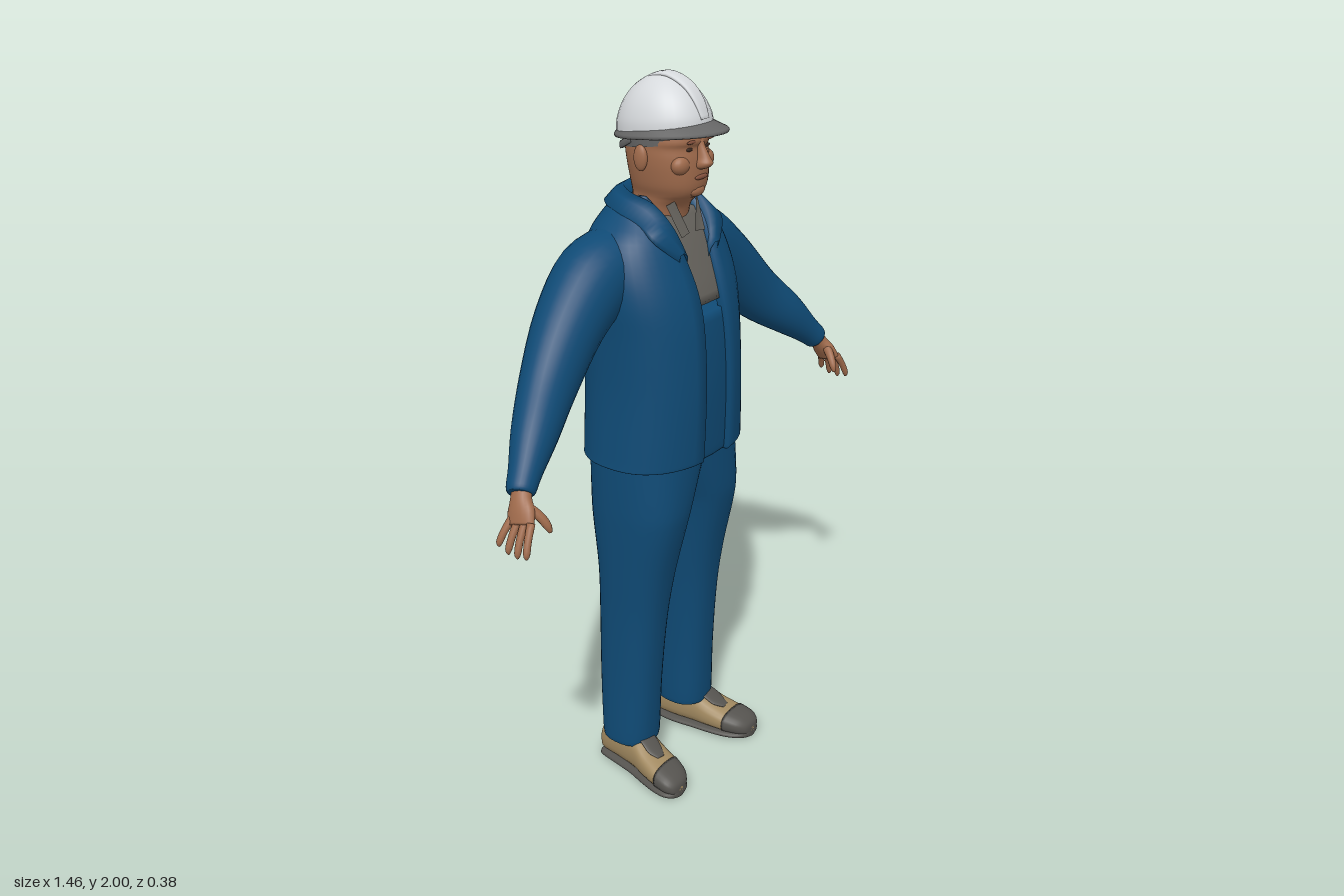
import * as THREE from 'three';

const mat = (name, color, side = THREE.FrontSide) => {
  const m = new THREE.MeshStandardMaterial({ color, side });
  m.name = name;
  return m;
};
const V = (x, y, z) => new THREE.Vector3(x, y, z);

// Catmull-Rom resampling of rows of numbers, n steps per span
function smooth(rows, n = 4) {
  const out = [];
  const at = i => rows[Math.max(0, Math.min(rows.length - 1, i))];
  for (let i = 0; i < rows.length - 1; i++)
    for (let s = 0; s < n; s++) {
      const t = s / n;
      out.push(rows[i].map((p1, k) => {
        const p0 = at(i - 1)[k], p2 = at(i + 1)[k], p3 = at(i + 2)[k];
        return p1 + 0.5 * t * (p2 - p0 + t * (2 * p0 - 5 * p1 + 4 * p2 - p3 + t * (3 * (p1 - p2) + p3 - p0)));
      }));
    }
  out.push(rows[rows.length - 1]);
  return out;
}

// Skin over a list of rings of points
function loft(rings, closed = true, cap = closed) {
  const n = rings[0].length, pts = rings.flat(), idx = [];
  const spans = closed ? n : n - 1;
  for (let i = 0; i < rings.length - 1; i++)
    for (let j = 0; j < spans; j++) {
      const a = i * n + j, b = i * n + (j + 1) % n;
      idx.push(a, b, a + n, b, b + n, a + n);
    }
  if (cap) [0, rings.length - 1].forEach((r, end) => {
    const c = V(0, 0, 0);
    rings[r].forEach(p => c.addScaledVector(p, 1 / n));
    pts.push(c);
    for (let j = 0; j < n; j++) {
      const a = r * n + j, b = r * n + (j + 1) % n;
      idx.push(pts.length - 1, end ? a : b, end ? b : a);
    }
  });
  const g = new THREE.BufferGeometry().setFromPoints(pts);
  g.setIndex(idx);
  g.computeVertexNormals();
  return g;
}

const pw = (v, p) => Math.sign(v) * Math.abs(v) ** (2 / p);

// Upright form: rows of [y, front z, back z, right x, left x]
function upright(rows, p = 2.3, n = 4, cap = true) {
  return loft(smooth(rows, n).map(([y, f, b, x0, x1]) => Array.from({ length: 32 }, (_, j) => {
    const t = j / 32 * Math.PI * 2;
    return V((x0 + x1) / 2 + pw(Math.sin(t), p) * (x1 - x0) / 2, y, (f + b) / 2 + pw(Math.cos(t), p) * (f - b) / 2);
  })), true, cap);
}
const even = rows => rows.map(([y, f, b, h]) => [y, f, b, -h, h]);

// Limb: rows of [x, y, z, thickness, breadth] along a path
function limb(rows, { ref = V(0, 0, 1), dir = null, n = 4, seg = 20, p = 2 } = {}) {
  const r = smooth(rows, n), pos = r.map(q => V(q[0], q[1], q[2]));
  return loft(r.map((q, i) => {
    const d = dir || pos[Math.min(i + 1, r.length - 1)].clone().sub(pos[Math.max(i - 1, 0)]).normalize();
    const u = ref.clone().cross(d).normalize(), v = d.clone().cross(u);
    return Array.from({ length: seg }, (_, j) => {
      const t = j / seg * Math.PI * 2;
      return pos[i].clone().addScaledVector(u, pw(Math.cos(t), p) * q[3]).addScaledVector(v, pw(Math.sin(t), p) * q[4]);
    });
  }));
}

function ball(x, y, z, rx, ry, rz) {
  return new THREE.SphereGeometry(1, 20, 14).scale(rx, ry, rz).translate(x, y, z);
}

export function createModel() {
  const root = new THREE.Group();
  root.name = 'worker';
  const blue = mat('work blue', 0x0f4a75, THREE.DoubleSide);
  const skin = mat('skin', 0xa06b4c);
  const lipMat = mat('lip brown', 0x84513d);
  const dark = mat('dark brown', 0x3a2a22);
  const grey = mat('shirt grey', 0x66635d, THREE.DoubleSide);
  const white = mat('helmet white', 0xd6d9dc);
  const trim = mat('trim grey', 0x666666, THREE.DoubleSide);
  const tan = mat('boot tan', 0xa18960);
  const sole = mat('sole grey', 0x55534f);

  const add = (name, g, m) => {
    const mesh = new THREE.Mesh(g, m);
    mesh.name = name;
    root.add(mesh);
  };
  // Left part plus its mirrored twin
  const pair = (name, g, m) => {
    add(name + 'Left', g, m);
    const r = g.clone().scale(-1, 1, 1), ix = r.index.array;
    for (let i = 0; i < ix.length; i += 3) [ix[i], ix[i + 1]] = [ix[i + 1], ix[i]];
    r.computeVertexNormals();
    add(name + 'Right', r, m);
  };

  // Trousers
  pair('trouserLeg', upright([[.11, .045, -.1, .062, .198], [.115, .052, -.108, .055, .205], [.3, .06, -.118, .052, .2],
    [.5, .075, -.12, .042, .2], [.65, .097, -.122, .028, .206], [.8, .13, -.14, .01, .213],
    [.88, .14, -.148, -.015, .215], [1.03, .14, -.162, -.09, .215]], 2.4), blue);

  // Jacket, open at the front: [y, front, back, half width, half gap]
  const coat = [[1.005, .15, -.17, .222, .056], [1.0, .167, -.187, .236, .056], [1.03, .172, -.19, .234, .055],
    [1.2, .176, -.191, .222, .053], [1.35, .167, -.191, .222, .05], [1.45, .147, -.187, .228, .048],
    [1.53, .118, -.18, .222, .054], [1.6, .087, -.17, .195, .066], [1.65, .058, -.15, .14, .074], [1.7, .03, -.11, .09, .08]];
  add('jacketBody', loft(smooth(coat).map(([y, f, b, h, gap]) => {
    const p = 2.4, a = Math.asin(Math.min(.95, (gap / h) ** (p / 2)));
    const ring = Array.from({ length: 41 }, (_, j) => {
      const t = a + (Math.PI * 2 - 2 * a) * j / 40;
      return V(pw(Math.sin(t), p) * h, y, (f + b) / 2 + pw(Math.cos(t), p) * (f - b) / 2);
    });
    // folded front edges
    const fold = q => q.clone().add(V(0, 0, -.025));
    return [fold(ring[0]), ...ring, fold(ring[40])];
  }), false), blue);

  // Front panel and shirt inside the jacket
  const inner = (y0, y1) => smooth(coat.slice(1)).filter(q => q[0] >= y0 && q[0] <= y1)
    .map(([y, f, b, h]) => [y, f - .013, b + .02, -h * .9, h * .9]);
  add('frontPanel', upright(inner(1.0, 1.42), 2.4, 1), blue);
  add('shirt', upright(inner(1.405, 1.66), 2.4, 1), grey);
  const flap = new THREE.BufferGeometry().setFromPoints(
    [V(.012, 1.605, .084), V(.05, 1.6, .088), V(.066, 1.68, .05), V(.046, 1.69, .062)]);
  flap.setIndex([0, 1, 2, 0, 2, 3]);
  flap.computeVertexNormals();
  pair('shirtCollar', flap, grey);

  // Jacket collar: top edge point, then outer edge point
  const half = [[.05, 1.555, .108, .085, 1.565, .11], [.075, 1.63, .082, .142, 1.615, .075], [.088, 1.685, .03, .138, 1.645, .02],
    [.09, 1.705, -.04, .13, 1.665, -.06], [.06, 1.715, -.09, .085, 1.672, -.135]];
  const collarRows = [...half, [0, 1.717, -.108, 0, 1.672, -.158],
    ...half.slice().reverse().map(r => [-r[0], r[1], r[2], -r[3], r[4], r[5]])];
  add('jacketCollar', loft(smooth(collarRows, 5).map(([a, b, c, d, e, f]) =>
    [V(a * .92, b - .035, c * .92), V(a, b, c), V((a + d) / 2, (b + e) / 2 + .008, (c + f) / 2), V(d, e, f), V(d * .95, e - .018, f * .95)]), false), blue);

  // Sleeves
  pair('sleeve', limb([[.1, 1.555, -.06, .08, .09], [.21, 1.505, -.067, .108, .1], [.33, 1.42, -.052, .096, .088],
    [.45, 1.305, -.02, .08, .07], [.55, 1.222, .022, .062, .057], [.62, 1.158, .052, .042, .042],
    [.652, 1.128, .066, .036, .037], [.66, 1.12, .07, .03, .031]], { seg: 28 }), blue);

  // Hands
  pair('palm', limb([[.64, 1.145, .063, .022, .026], [.662, 1.112, .075, .021, .028], [.677, 1.085, .087, .019, .038],
    [.69, 1.058, .096, .014, .039]]), skin);
  for (let i = 0; i < 4; i++) {
    const z = .068 + .0195 * i, w = (i - 1.5) * .009, len = [.85, 1, 1.03, .95][i];
    pair('finger' + (i + 1), limb([[.687, 1.07, z, .0105, .0105], [.709, 1.07 - .037 * len, z + w * .6, .0095, .0095],
      [.721, 1.07 - .067 * len, z + w, .0085, .0085], [.722, 1.07 - .08 * len, z + w, .003, .003]], { seg: 10, n: 3 }), skin);
  }
  pair('thumb', limb([[.67, 1.1, .098, .013, .014], [.654, 1.075, .124, .012, .012], [.645, 1.05, .14, .01, .01],
    [.642, 1.034, .146, .004, .004]], { seg: 10 }), skin);

  // Boots
  const bootRows = [[-.115, .13, .028, .08], [-.106, .13, .043, .115], [-.04, .135, .05, .13], [.02, .145, .051, .125],
    [.07, .156, .055, .097], [.125, .168, .056, .076], [.165, .177, .048, .062], [.187, .181, .03, .046], [.193, .182, .008, .032]];
  const boot = (rows, top, bottom, grow) => limb(rows.map(([z, x, w, t]) => {
    const y1 = Math.min(t + grow, top);
    return [x, (y1 + bottom) / 2, z, (y1 - bottom) / 2, w + grow];
  }), { ref: V(-1, 0, 0), dir: V(0, 0, 1), p: 2.5, seg: 24 });
  pair('boot', boot(bootRows, 1, .012, 0), tan);
  pair('toeCap', boot(bootRows.slice(5), 1, .01, .003), sole);
  pair('bootSole', boot(bootRows, .024, 0, .004), sole);
  pair('bootTongue', limb([[.145, .124, .02, .006, .026], [.15, .112, .05, .006, .028], [.157, .094, .078, .006, .026],
    [.162, .083, .105, .003, .012]], { ref: V(-1, 0, 0) }), sole);

  // Head and neck
  add('head', upright(even([[1.58, .045, -.08, .068], [1.66, .057, -.085, .07], [1.69, .08, -.088, .072], [1.705, .1, -.09, .075],
    [1.73, .11, -.092, .085], [1.77, .112, -.098, .093], [1.8, .11, -.102, .096], [1.825, .106, -.104, .096],
    [1.845, .113, -.105, .096], [1.89, .098, -.1, .088]]), 2.2), skin);
  add('nose', upright(even([[1.771, .118, .09, .01], [1.777, .133, .09, .019], [1.788, .143, .09, .02], [1.802, .135, .09, .014],
    [1.83, .119, .09, .01], [1.848, .112, .09, .012]]), 2), skin);
  add('lips', ball(0, 1.751, .111, .027, .0065, .006), lipMat);
  add('chin', ball(0, 1.716, .095, .03, .017, .016), skin);
  pair('ear', ball(.099, 1.8, -.004, .012, .033, .02), skin);
  pair('cheek', ball(.05, 1.785, .083, .03, .025, .022), skin);
  pair('eye', ball(.036, 1.823, .1, .012, .005, .004), dark);
  pair('eyebrow', ball(.037, 1.842, .107, .02, .0045, .004), lipMat);

  // Helmet shell, tilted back a little
  const shell = upright(even([[1.86, .124, -.132, .106], [1.89, .119, -.13, .104], [1.925, .103, -.116, .092], [1.955, .08, -.093, .073],
    [1.978, .051, -.062, .048], [1.99, .022, -.03, .022], [1.993, .002, -.006, .003]]), 2.1);
  const sp = shell.attributes.position;
  for (let i = 0; i < sp.count; i++) sp.setY(i, sp.getY(i) + sp.getZ(i) * (2 - sp.getY(i)) * .9);
  shell.computeVertexNormals();
  add('helmetShell', shell, white);
  add('helmetRidge', limb([[0, 1.895, .12, .005, .016], [0, 1.938, .1, .006, .02], [0, 1.975, .062, .007, .022], [0, 1.993, 0, .007, .022],
    [0, 1.966, -.066, .007, .022], [0, 1.92, -.107, .006, .02], [0, 1.87, -.127, .005, .016]], { ref: V(1, 0, 0), p: 2.6 }), white);

  // Helmet brim with its front peak
  const rim = (hx, front, back, dy) => Array.from({ length: 48 }, (_, j) => {
    const t = j / 48 * Math.PI * 2, c = Math.cos(t);
    return V(Math.sin(t) * hx, 1.855 + dy + .016 * c, c * (c > 0 ? front : back));
  });
  add('helmetBrim', loft([rim(.1, .115, .125, -.006), rim(.115, .174, .137, -.007), rim(.117, .176, .139, -.002),
    rim(.115, .172, .137, .002), rim(.103, .118, .128, .016)], true, false), trim);
  add('helmetHeadband', loft([rim(.099, .11, .108, -.028), rim(.101, .112, .118, 0)], true, false), trim);
  add('helmetNapeStrap', limb([[-.094, 1.84, -.04, .004, .008], [-.075, 1.818, -.085, .004, .01], [0, 1.812, -.112, .004, .013],
    [.075, 1.818, -.085, .004, .01], [.094, 1.84, -.04, .004, .008]], { ref: V(0, 1, 0), seg: 10 }), trim);

  return root;
}
